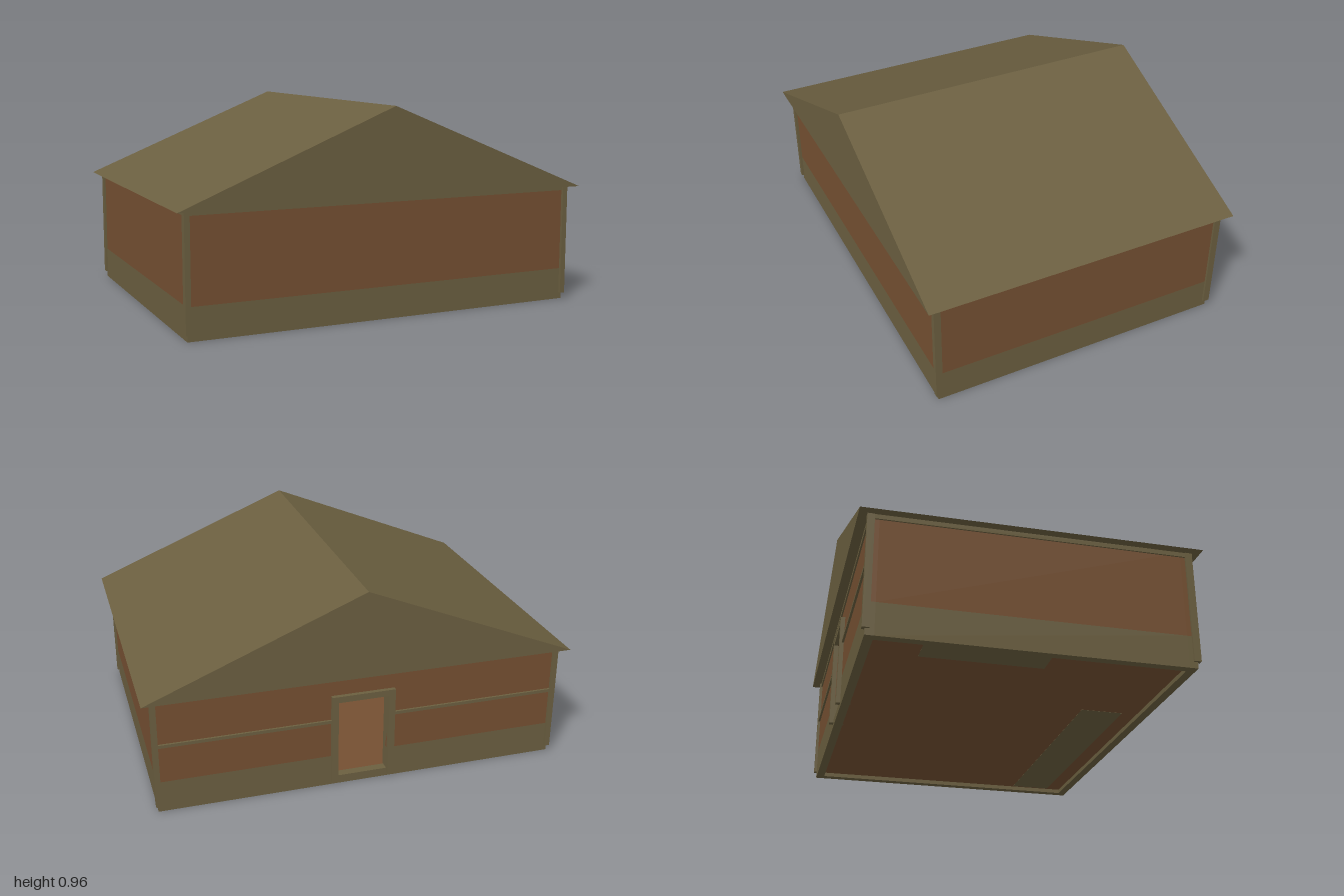
import * as THREE from 'three';

export function createModel() {
  const group = new THREE.Group();
  group.name = 'house';
  const olive = new THREE.MeshStandardMaterial({ color: 0x6b5f40 });
  olive.name = 'olive';
  const brown = new THREE.MeshStandardMaterial({ color: 0x755032 });
  brown.name = 'brown';

  // Box given by its limits on each axis
  function box(name, mat, x0, x1, y0, y1, z0, z1) {
    const mesh = new THREE.Mesh(new THREE.BoxGeometry(x1 - x0, y1 - y0, z1 - z0), mat);
    mesh.position.set((x0 + x1) / 2, (y0 + y1) / 2, (z0 + z1) / 2);
    mesh.name = name;
    group.add(mesh);
  }

  const W = 0.95, D = 0.713, T = 0.04;      // wall half width, half depth, thickness
  const doorW = 0.12, doorTop = 0.43, sill = 0.04;

  // Walls: an olive base band below a brown upper band
  for (const [name, mat, y0, y1] of [['wallBase', olive, 0, 0.15], ['wallUpper', brown, 0.15, 0.558]]) {
    box(name + 'Front', mat, -W, W, y0, y1, D - T, D);
    for (const s of [-1, 1]) {
      const a = s * W, b = s * (W - T);
      box(name + 'Side', mat, Math.min(a, b), Math.max(a, b), y0, y1, -D + T, D - T);
      // Back wall on either side of the doorway
      const c = s * doorW;
      box(name + 'Back', mat, Math.min(a, c), Math.max(a, c), y0, y1, -D, -D + T);
    }
  }
  box('wallAboveDoor', brown, -doorW, doorW, doorTop, 0.558, -D, -D + T);
  box('threshold', olive, -doorW, doorW, 0, sill, -D, -D + T);
  box('floor', brown, -W + T, W - T, 0.02, sill, -D + T, D - T);

  // Corner posts and trim under the eaves
  for (const sx of [-1, 1]) {
    for (const sz of [-1, 1]) {
      const cx = sx * 0.9475, cz = sz * 0.71;
      box('cornerPost', olive, cx - 0.0125, cx + 0.0125, 0.03, 0.558, cz - 0.016, cz + 0.016);
    }
    const x = sx * W;
    box('sideTopTrim', olive, x - 0.007, x + 0.007, 0.535, 0.558, -D, D);
    box('endTopTrim', olive, -W, W, 0.535, 0.558, sx * D - 0.007, sx * D + 0.007);
  }

  // Back rails and door frame
  for (const s of [-1, 1]) {
    const a = s * 0.15, b = s * 0.935, c = s * doorW;
    box('backRail', olive, Math.min(a, b), Math.max(a, b), 0.325, 0.34, -D - 0.01, -D);
    box('doorPost', olive, Math.min(a, c), Math.max(a, c), 0.02, 0.46, -D - 0.02, -D + T + 0.01);
  }
  box('doorHead', olive, -doorW, doorW, doorTop, 0.46, -D - 0.02, -D + T + 0.01);

  // Furniture inside
  box('frontCounter', olive, -0.33, 0.9, 0.019, 0.2, 0.4, 0.6);
  box('sideCounter', olive, -0.9, -0.75, 0.019, 0.2, -0.46, 0.09);
  box('bench', olive, 0.26, 0.5, sill, 0.21, -0.45, -0.25);

  // Solid gabled roof with its ridge along z
  const gable = new THREE.Shape();
  gable.moveTo(-1, 0.556);
  gable.lineTo(1, 0.556);
  gable.lineTo(0, 0.965);
  gable.closePath();
  const roofGeometry = new THREE.ExtrudeGeometry(gable, { depth: 1.526, bevelEnabled: false });
  roofGeometry.translate(0, 0, -0.763);
  const roof = new THREE.Mesh(roofGeometry, olive);
  roof.name = 'roof';
  group.add(roof);

  return group;
}
